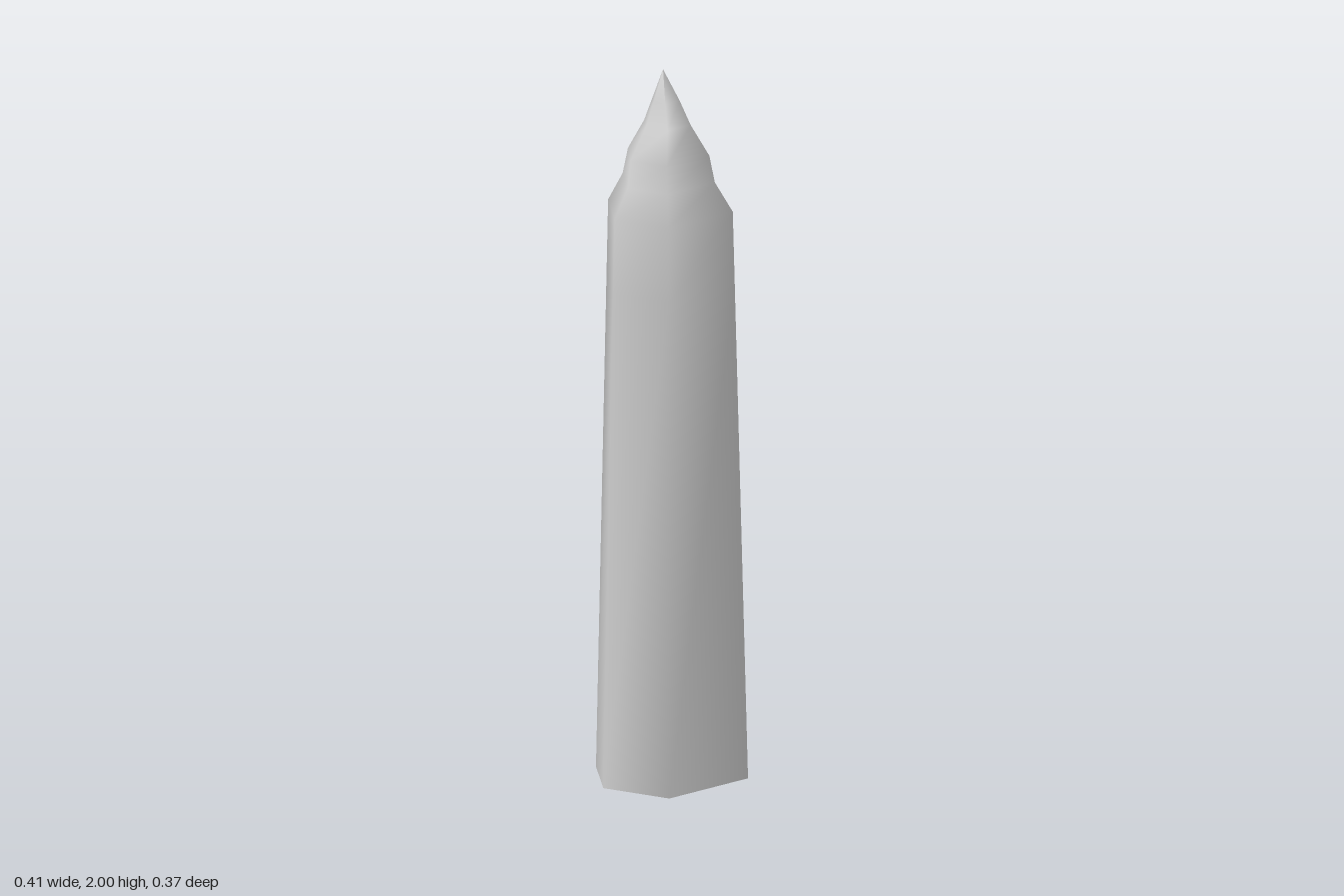
import * as THREE from 'three';

// Irregular hexagon of the base: left, front-left, front-right, right, back-right, back-left (x, z)
const HEX = [[-0.207, 0], [-0.126, 0.181], [0.147, 0.181], [0.206, 0], [0.139, -0.184], [-0.087, -0.178]];

// Rings: height, then scale of the hexagon towards -x, +x, +z and -z
const RINGS = [
  [0.01, 1, 1, 1, 1],
  [1.4, 0.837, 0.847, 0.842, 0.846],
  [1.61, 0.812, 0.824, 0.818, 0.823],
  [1.69, 0.59, 0.61, 0.61, 0.61],
  [1.765, 0.545, 0.54, 0.55, 0.51],
  [1.85, 0.285, 0.3, 0.35, 0.28],
  [1.915, 0.16, 0.2, 0.19, 0.16],
  [2, 0.002, 0.002, 0.002, 0.002],
];

function ringPoint([y, left, right, front, back], i) {
  const [x, z] = HEX[i];
  const dip = y < 0.1 && i === 5 ? 0.01 : 0; // one base corner hangs slightly lower
  return [x * (x < 0 ? left : right), y - dip, z * (z > 0 ? front : back)];
}

function buildGeometry(positions, indices) {
  const g = new THREE.BufferGeometry();
  g.setAttribute('position', new THREE.Float32BufferAttribute(positions, 3));
  g.setIndex(indices);
  g.computeVertexNormals();
  return g;
}

export function createModel() {
  const group = new THREE.Group();
  group.name = 'crystalPoint';
  const stone = new THREE.MeshStandardMaterial({ color: 0xcccccc });
  stone.name = 'pale grey stone';
  const n = HEX.length;

  // Tapering shaft and chipped point, smoothly shaded
  const positions = [], indices = [];
  RINGS.forEach((ring, r) => {
    for (let i = 0; i < n; i++) {
      positions.push(...ringPoint(ring, i));
      if (r === RINGS.length - 1) continue;
      const a = r * n + i, b = r * n + (i + 1) % n;
      indices.push(a, b, b + n, a, b + n, a + n);
    }
  });
  const shaft = new THREE.Mesh(buildGeometry(positions, indices), stone);
  shaft.name = 'shaftAndPoint';
  group.add(shaft);

  // Flat underside
  const capPositions = [0, 0.01, 0], capIndices = [];
  for (let i = 0; i < n; i++) {
    capPositions.push(...ringPoint(RINGS[0], i));
    capIndices.push(0, 1 + (i + 1) % n, 1 + i);
  }
  const base = new THREE.Mesh(buildGeometry(capPositions, capIndices), stone);
  base.name = 'underside';
  group.add(base);

  return group;
}
